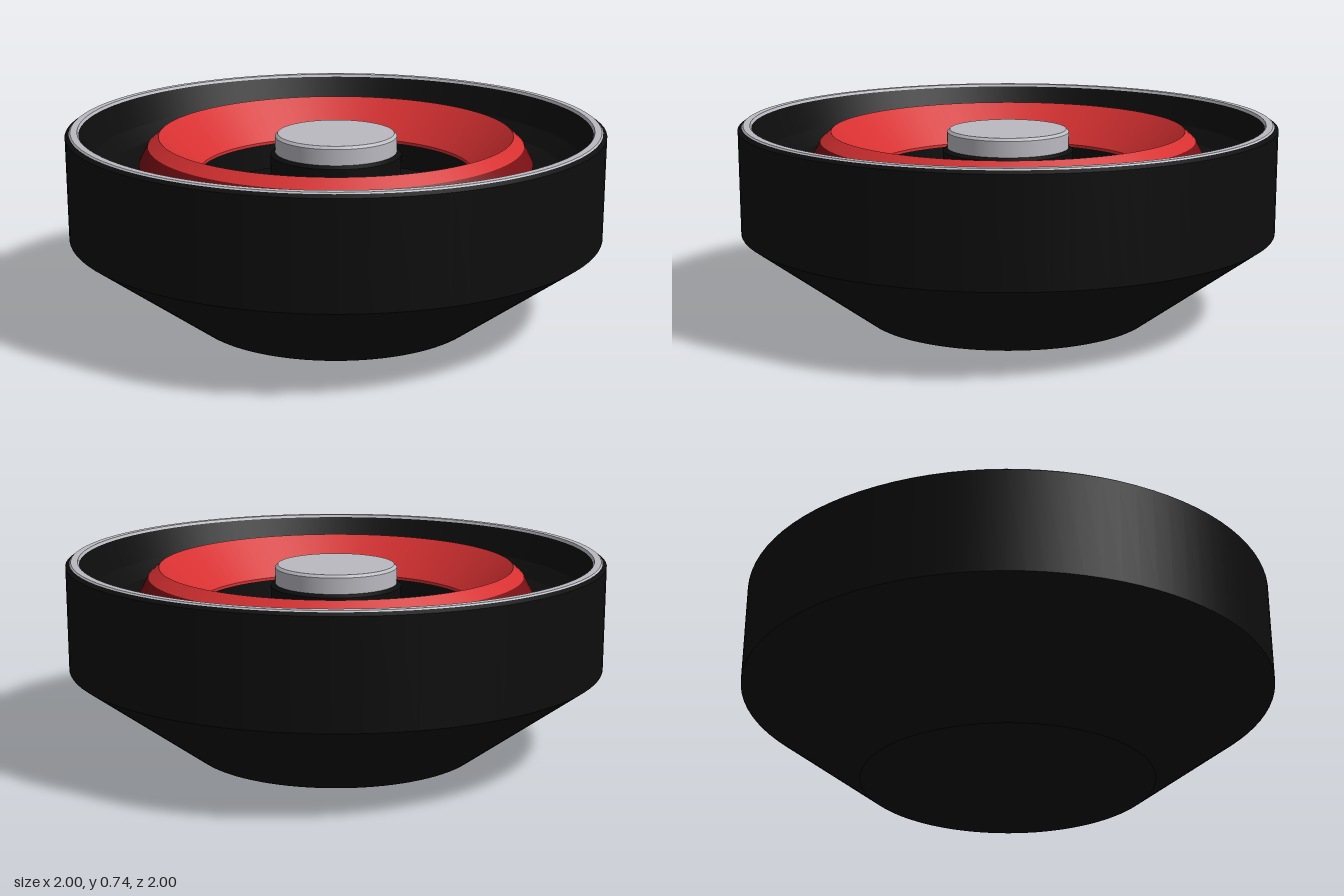
import * as THREE from 'three';
import { mergeGeometries } from 'three/addons/utils/BufferGeometryUtils.js';

const SEGMENTS = 96;

const material = (name, color) => {
  const m = new THREE.MeshStandardMaterial({ color });
  m.name = name;
  return m;
};

// Turned part with a hard edge at every profile point; points run up the outside, then inward.
function turned(name, mat, profile) {
  const bands = [];
  for (let i = 0; i < profile.length - 1; i++) {
    const ends = [profile[i], profile[i + 1]].map(([r, y]) => new THREE.Vector2(r, y));
    bands.push(new THREE.LatheGeometry(ends, SEGMENTS));
  }
  const mesh = new THREE.Mesh(mergeGeometries(bands), mat);
  mesh.name = name;
  return mesh;
}

export function createModel() {
  const black = material('black', 0x0d0d0d);
  const red = material('red', 0xd63031);
  const darkRed = material('dark red', 0x7a1014);
  const silver = material('silver', 0xb9b9c0);

  const group = new THREE.Group();
  group.name = 'roundBase';
  group.add(
    // Tapered shell, closed underneath
    turned('outerShell', black, [[0, 0], [0.545, 0], [1, 0.335], [1, 0.72], [0.985, 0.73]]),
    // Pale band on the lip
    turned('rimBand', silver, [[0.985, 0.73], [0.98, 0.735], [0.955, 0.735], [0.95, 0.725]]),
    // Channel around the ring and the recessed floor
    turned('innerBowl', black, [[0.95, 0.725], [0.91, 0.62], [0.85, 0.57], [0.73, 0.55],
      [0.515, 0.55], [0.515, 0.45], [0, 0.45]]),
    // Raised ring: dark outer skirt, bright bevel and funnel
    turned('ringSkirt', darkRed, [[0.735, 0.55], [0.735, 0.6], [0.7, 0.665]]),
    turned('ringFunnel', red, [[0.7, 0.665], [0.66, 0.7], [0.515, 0.56], [0.515, 0.55]]),
    // Central post with cap
    turned('post', black, [[0.245, 0.45], [0.245, 0.62], [0.228, 0.63], [0, 0.63]]),
    turned('postCap', silver, [[0.228, 0.63], [0.228, 0.69], [0.218, 0.7], [0, 0.7]]),
  );
  return group;
}
